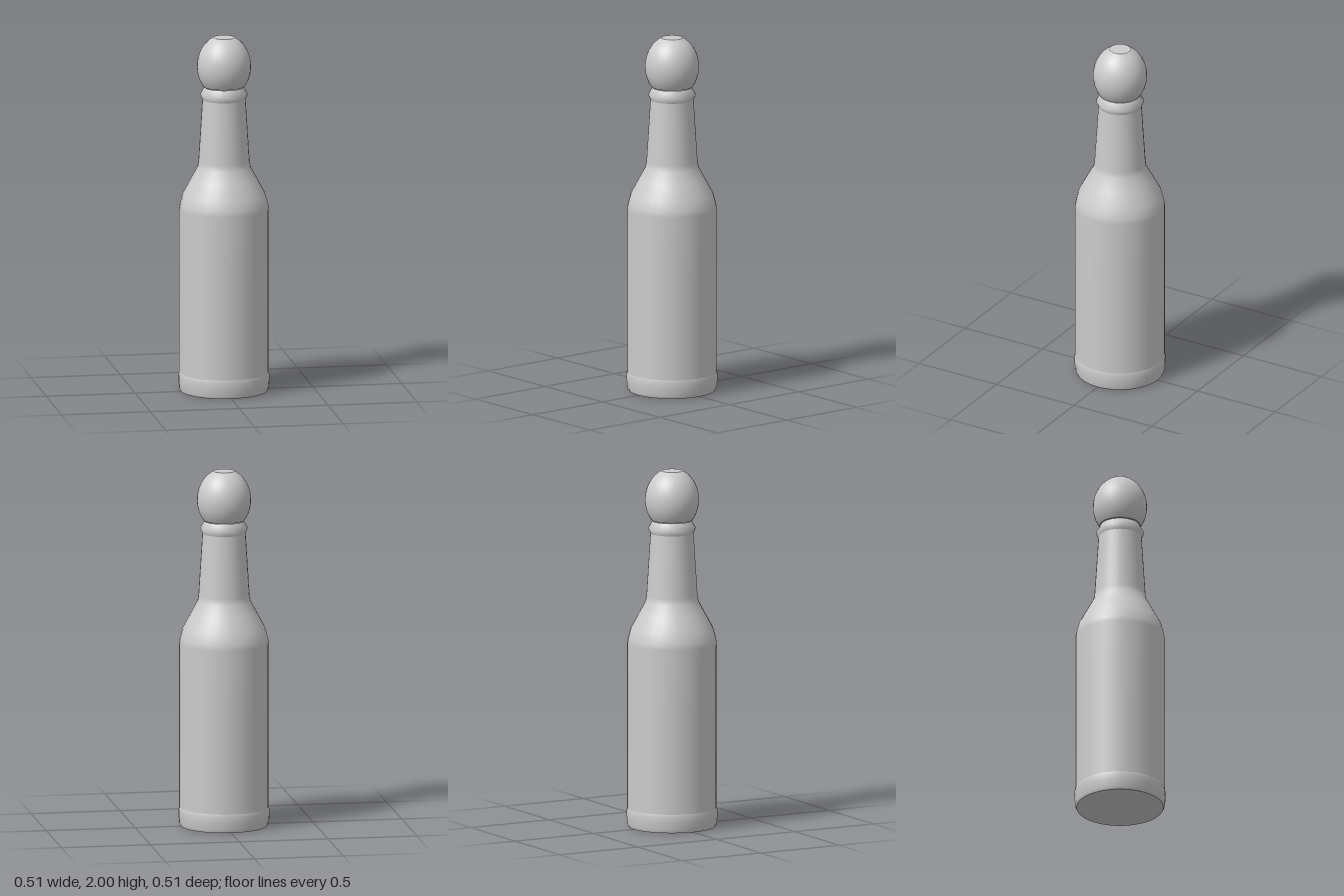
import * as THREE from 'three';

const SIDES = 32;
const material = new THREE.MeshStandardMaterial({ color: 0xcccccc, side: THREE.DoubleSide });

// Smooth surface of revolution from [radius, height] pairs, listed bottom to top
function lathe(name, profile) {
  const points = profile.map(([r, y]) => new THREE.Vector2(r, y));
  const mesh = new THREE.Mesh(new THREE.LatheGeometry(points, SIDES), material);
  mesh.name = name;
  return mesh;
}

export function createModel() {
  const group = new THREE.Group();
  group.name = 'bottle';

  // Flat underside and the slightly wider foot band
  group.add(lathe('base', [[0, 0], [0.242, 0]]));
  group.add(lathe('foot', [[0.242, 0], [0.249, 0.015], [0.253, 0.06], [0.253, 0.09], [0.249, 0.105]]));

  // Straight body, sloping shoulder, tapering neck
  group.add(lathe('body', [
    [0.249, 0.105], [0.249, 0.5], [0.249, 1.03], [0.244, 1.06], [0.229, 1.115],
    [0.186, 1.195], [0.148, 1.265], [0.142, 1.3], [0.12, 1.65],
  ]));

  // Raised lip round the mouth
  group.add(lathe('lip', [[0.12, 1.65], [0.132, 1.678], [0.114, 1.71], [0.11, 1.72]]));

  // Slightly stretched ball stopper, cut flat at both ends
  const centre = 1.837, radius = 0.15, stretch = 1.18;
  const low = -Math.acos(0.115 / radius), high = Math.acos(0.06 / radius);
  const ball = [];
  for (let i = 0; i <= 14; i++) {
    const a = low + (high - low) * i / 14;
    ball.push([radius * Math.cos(a), centre + radius * stretch * Math.sin(a)]);
  }
  ball[14][1] = 2;
  group.add(lathe('stopperBall', ball));
  group.add(lathe('stopperUnderside', [[0, ball[0][1]], ball[0]]));
  group.add(lathe('stopperTop', [ball[14], [0, 2]]));

  return group;
}
